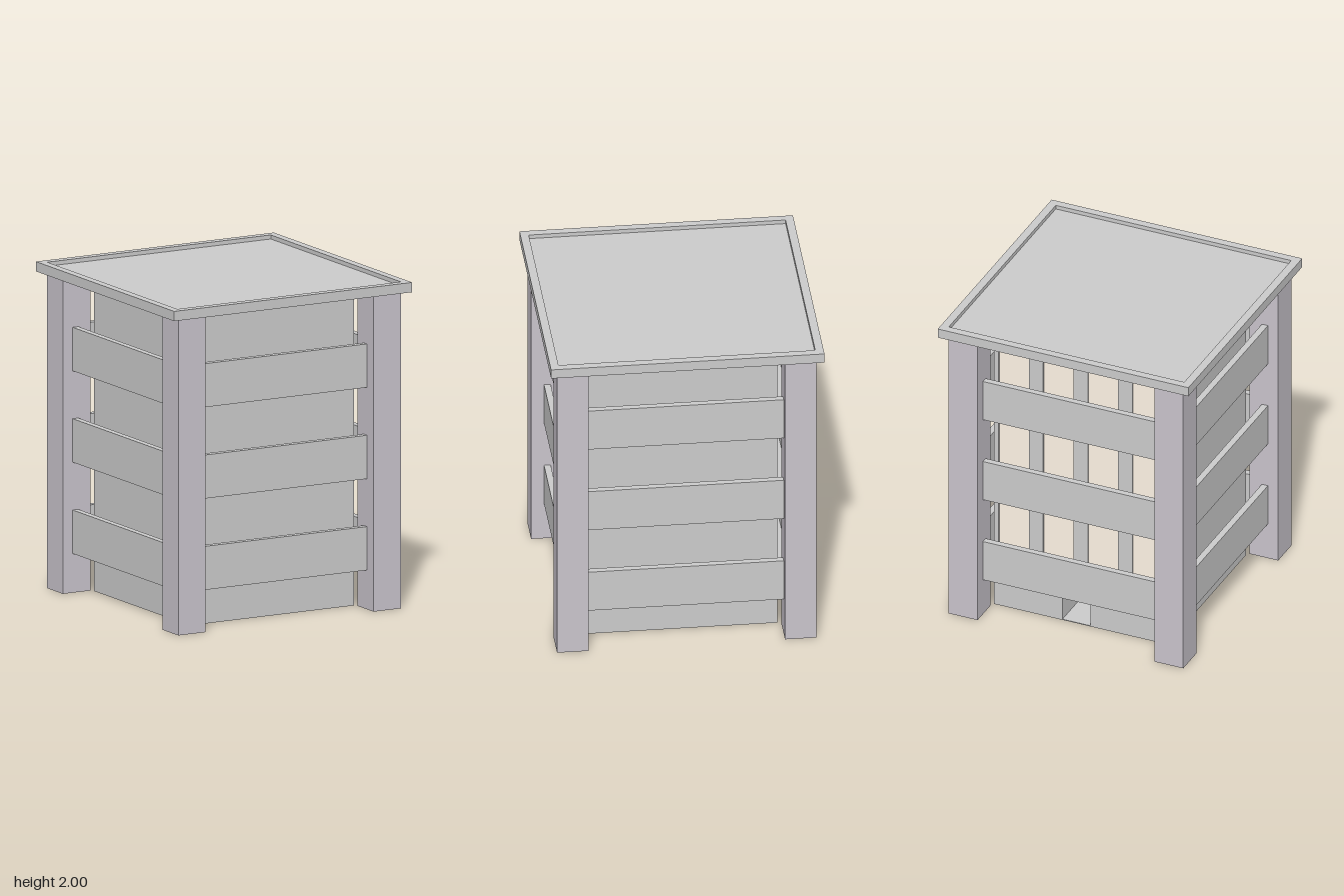
import * as THREE from 'three';

const grey = new THREE.MeshStandardMaterial({ color: 0xcccccc, flatShading: true });
const postMat = new THREE.MeshStandardMaterial({ color: 0xc9c4cc, flatShading: true });
const windowMat = new THREE.MeshStandardMaterial({ color: 0xfff4e6, flatShading: true });

const HALF = 0.57;          // half width of the tower body
const WALL_TOP = 1.95;      // walls reach into the roof
const FLOORS = [0.24, 0.80, 1.36];
const WINDOWS_X = [-0.44, -0.147, 0.147, 0.44];
const DOOR = { x0: -0.065, x1: 0.12, top: 0.24 };

// Box given by its minimum and maximum corners
function box(name, parent, [x0, y0, z0], [x1, y1, z1], material = grey) {
  const mesh = new THREE.Mesh(new THREE.BoxGeometry(x1 - x0, y1 - y0, z1 - z0), material);
  mesh.position.set((x0 + x1) / 2, (y0 + y1) / 2, (z0 + z1) / 2);
  mesh.name = name;
  parent.add(mesh);
  return mesh;
}

function rectPath(path, x0, y0, x1, y1) {
  path.moveTo(x0, y0);
  path.lineTo(x1, y0);
  path.lineTo(x1, y1);
  path.lineTo(x0, y1);
  path.closePath();
  return path;
}

// Wall outline with the doorway notched out of its lower edge
function wallShape() {
  return new THREE.Shape([
    [-HALF, 0], [DOOR.x0, 0], [DOOR.x0, DOOR.top], [DOOR.x1, DOOR.top],
    [DOOR.x1, 0], [HALF, 0], [HALF, WALL_TOP], [-HALF, WALL_TOP],
  ].map(([x, y]) => new THREE.Vector2(x, y)));
}

function extrude(name, parent, shape, depth, z) {
  const mesh = new THREE.Mesh(
    new THREE.ExtrudeGeometry(shape, { depth, bevelEnabled: false }), grey);
  mesh.position.z = z;
  mesh.name = name;
  parent.add(mesh);
  return mesh;
}

// Body: solid front part, doorway passage and windowed back wall
function makeBody() {
  const body = new THREE.Group();
  body.name = 'body';
  box('mainBlock', body, [-HALF, 0, -0.17], [HALF, WALL_TOP, HALF]);
  extrude('doorwayBlock', body, wallShape(), 0.38, -0.55);

  const back = wallShape();
  for (const y of FLOORS) {
    for (const x of WINDOWS_X) {
      const [x0, x1, y0, y1] = [x - 0.1, x + 0.1, y + 0.1, y + 0.49];
      back.holes.push(rectPath(new THREE.Path(), x0, y0, x1, y1));
      box('window', body, [x0, y0, -0.56], [x1, y1, -0.545], windowMat);
    }
  }
  extrude('backWall', body, back, 0.02, -HALF);
  box('doorwayFloor', body, [DOOR.x0, 0, -HALF], [DOOR.x1, 0.005, -0.16]);
  return body;
}

// Balcony: floor slab with a solid parapet along its outer edge
function makeBalcony(y, halfLength) {
  const balcony = new THREE.Group();
  balcony.name = 'balcony';
  box('balconyFloor', balcony, [-halfLength, y, 0.56], [halfLength, y + 0.05, 0.67]);
  box('parapet', balcony, [-halfLength, y, 0.665], [halfLength, y + 0.267, 0.705]);
  return balcony;
}

// Roof slab with a raised rim
function makeRoof() {
  const roof = new THREE.Group();
  roof.name = 'roof';
  box('roofSlab', roof, [-0.78, 1.94, -0.78], [0.78, 1.975, 0.78]);
  const rim = rectPath(new THREE.Shape(), -0.825, -0.825, 0.825, 0.825);
  rim.holes.push(rectPath(new THREE.Path(), -0.775, -0.775, 0.775, 0.775));
  const mesh = extrude('roofRim', roof, rim, 0.06, 0);
  mesh.rotation.x = -Math.PI / 2;
  mesh.position.y = 1.94;
  return roof;
}

export function createModel() {
  const model = new THREE.Group();
  model.name = 'tower';
  model.add(makeBody(), makeRoof());

  // Balconies on every floor and all four sides
  for (const y of FLOORS) {
    for (let side = 0; side < 4; side++) {
      const balcony = makeBalcony(y, side % 2 ? 0.594 : 0.584);
      balcony.rotation.y = side * Math.PI / 2;
      model.add(balcony);
    }
  }

  // Corner posts
  for (const sx of [-1, 1]) {
    for (const sz of [-1, 1]) {
      const post = box('cornerPost', model, [0.582, 0, 0.593], [0.772, 1.945, 0.783], postMat);
      post.position.x *= sx;
      post.position.z *= sz;
    }
  }
  return model;
}
